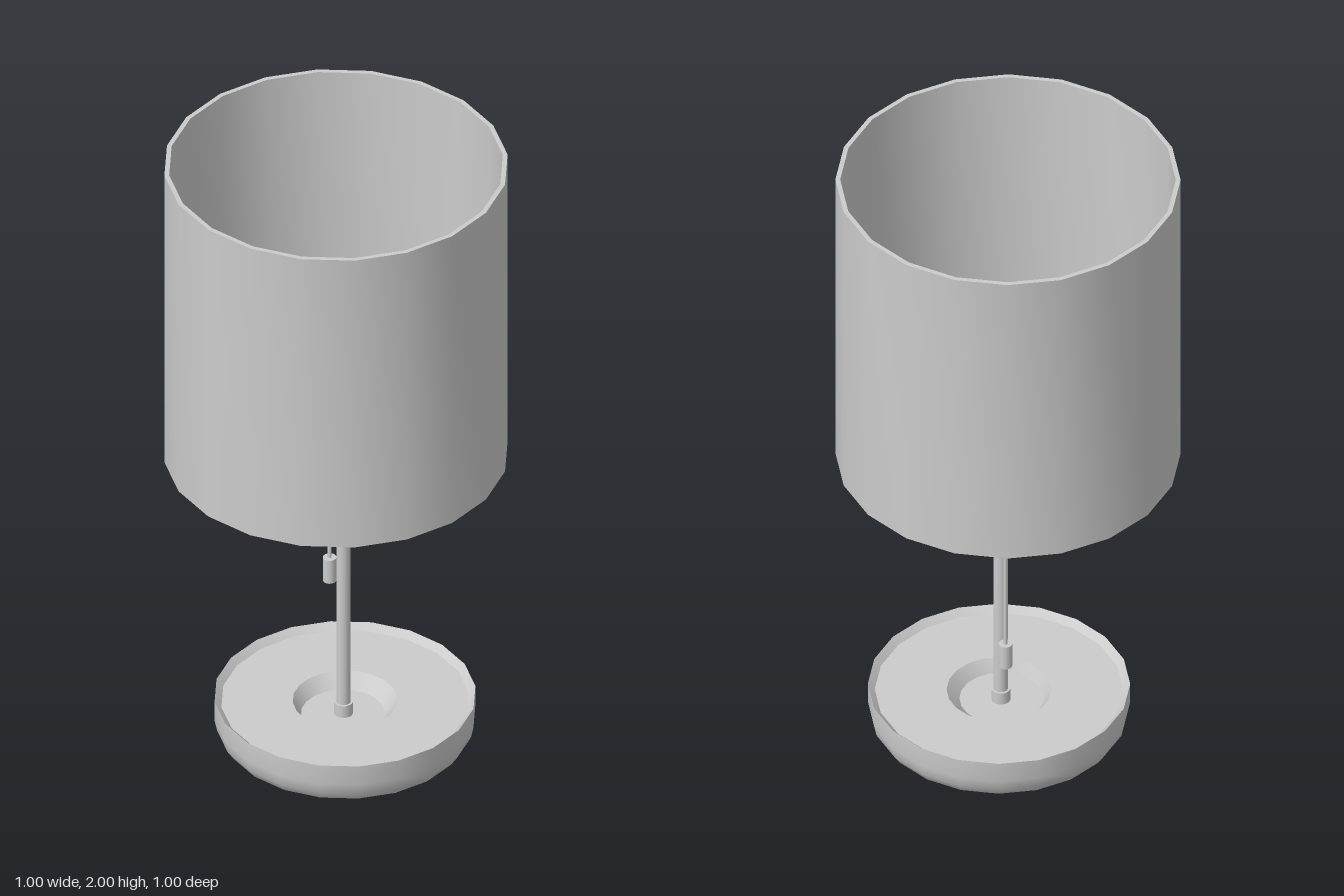
import * as THREE from 'three';
import { toCreasedNormals } from 'three/addons/utils/BufferGeometryUtils.js';

const SIDES = 20;
const POLE_X = 0.022, POLE_Z = -0.005;

export function createModel() {
  const lamp = new THREE.Group();
  lamp.name = 'tableLamp';
  const material = new THREE.MeshStandardMaterial({ color: 0xcccccc });

  function add(name, geometry, x = 0, y = 0, z = 0, parent = lamp) {
    const mesh = new THREE.Mesh(geometry, material);
    mesh.name = name;
    mesh.position.set(x, y, z);
    parent.add(mesh);
    return mesh;
  }
  const lathe = (points) =>
    new THREE.LatheGeometry(points.map(([r, y]) => new THREE.Vector2(r, y)), SIDES);
  const rod = (r, bottom, top, sides = 16) =>
    new THREE.CylinderGeometry(r, r, top - bottom, sides).translate(0, (top + bottom) / 2, 0);

  // Drum shade: thin wall, open at both ends
  add('shade', toCreasedNormals(
    lathe([[0.5, 1], [0.5, 2], [0.486, 2], [0.486, 1], [0.5, 1]]), 0.7));

  // Rounded dish base with a raised rim and a sloped well in the middle
  const base = lathe([
    [0, 0], [0.29, 0], [0.325, 0.007], [0.354, 0.026], [0.373, 0.055], [0.38, 0.09],
    [0.38, 0.155], [0.36, 0.135], [0.152, 0.135], [0.122, 0.095], [0, 0.095],
  ]);
  // The floor of the well sits slightly forward
  const p = base.attributes.position;
  for (let i = 0; i < p.count; i++) {
    if (Math.abs(p.getY(i) - 0.095) < 0.001) p.setZ(i, p.getZ(i) + 0.012);
  }
  add('base', toCreasedNormals(base, 0.5), POLE_X, 0, -0.014);

  // Stem and its foot collar
  add('stem', rod(0.021, 0.09, 1.025), POLE_X, 0, POLE_Z);
  add('stemCollar', rod(0.028, 0.09, 0.135), POLE_X, 0, POLE_Z);

  // Three spokes from the stem to the lower edge of the shade
  const spokes = new THREE.Group();
  spokes.name = 'shadeSpokes';
  lamp.add(spokes);
  for (const [x, z] of [[-0.293, -0.393], [0.466, -0.146], [-0.157, 0.462]]) {
    const dx = x - POLE_X, dz = z - POLE_Z;
    const spoke = add('spoke', new THREE.BoxGeometry(Math.hypot(dx, dz), 0.015, 0.015),
      (x + POLE_X) / 2, 1.017, (z + POLE_Z) / 2, spokes);
    spoke.rotation.y = Math.atan2(-dz, dx);
  }

  // Pull switch hanging from the back spoke
  add('pullCord', rod(0.006, 0.47, 1.017, 8), -0.129, 0, -0.189);
  add('pullHandle', rod(0.02, 0.4, 0.48), -0.129, 0, -0.189);

  return lamp;
}
